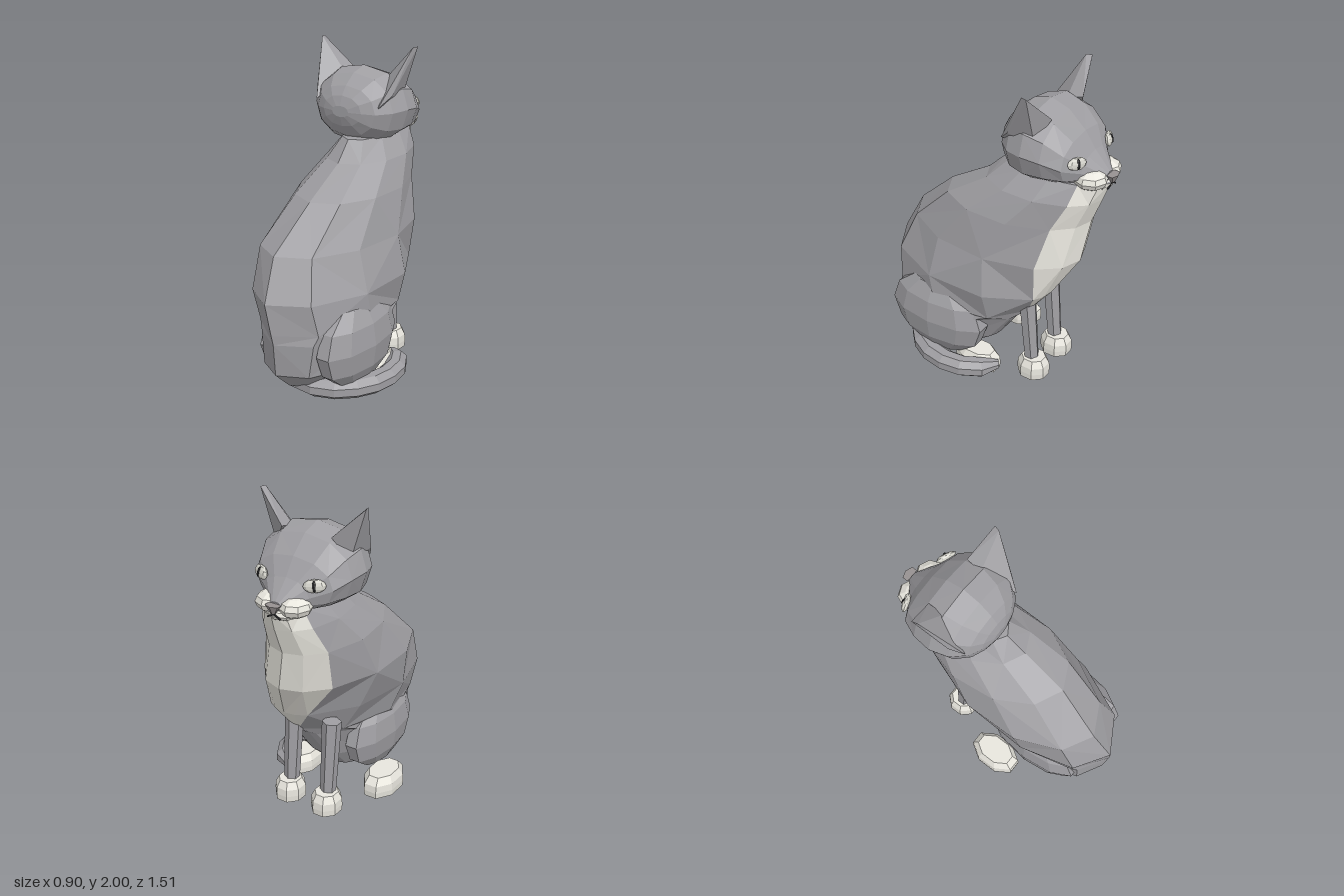
import * as THREE from 'three';
import { ConvexGeometry } from 'three/addons/geometries/ConvexGeometry.js';

const mat = (name, color) => new THREE.MeshStandardMaterial({ name, color, flatShading: true });
const HX = -0.105; // centre line of the head

// Skin a stack of rings into faceted faces; isWhite(i, j) picks the second material.
function loft(rings, isWhite = () => false) {
  const buckets = [[], []];
  const n = rings[0].length;
  const tri = (b, ...p) => p.forEach(v => b.push(v.x, v.y, v.z));
  for (let i = 0; i < rings.length - 1; i++) {
    for (let j = 0; j < n; j++) {
      const k = (j + 1) % n;
      const b = buckets[isWhite(i, j) ? 1 : 0];
      const [p, q, r, s] = [rings[i][j], rings[i][k], rings[i + 1][j], rings[i + 1][k]];
      if ((i + j) % 2) { tri(b, p, r, q); tri(b, q, r, s); }
      else { tri(b, p, r, s); tri(b, p, s, q); }
    }
  }
  const cap = (ring, first) => {
    const c = ring.reduce((a, v) => a.add(v), new THREE.Vector3()).divideScalar(n);
    for (let j = 0; j < n; j++) {
      const k = (j + 1) % n;
      if (first) tri(buckets[0], c, ring[j], ring[k]);
      else tri(buckets[0], c, ring[k], ring[j]);
    }
  };
  cap(rings[0], true);
  cap(rings[rings.length - 1], false);
  const g = new THREE.BufferGeometry();
  g.setAttribute('position', new THREE.Float32BufferAttribute([...buckets[0], ...buckets[1]], 3));
  g.addGroup(0, buckets[0].length / 3, 0);
  g.addGroup(buckets[0].length / 3, buckets[1].length / 3, 1);
  g.computeVertexNormals();
  return g;
}

export function createModel() {
  const cat = new THREE.Group();
  cat.name = 'sittingCat';
  const grey = mat('greyFur', 0x9f9ea2);
  const white = mat('whiteFur', 0xe8e6de);
  const noseMat = mat('noseGrey', 0x969191);
  const dark = mat('darkDetail', 0x2c2c2e);
  const iris = mat('paleIris', 0xd6d5cd);

  const add = (name, geo, m, pos = [0, 0, 0], scale = [1, 1, 1], parent = cat) => {
    const mesh = new THREE.Mesh(geo, m);
    mesh.name = name;
    mesh.position.set(...pos);
    mesh.scale.set(...scale);
    parent.add(mesh);
    return mesh;
  };

  // Body: y, centre x, half width, back z, front z, half angle of the white bib, sideways skew
  const bodyRows = [
    [0.06, -0.01, 0.16, 0.57, 0.05, 0.4, -0.06],
    [0.19, 0.02, 0.27, 0.71, -0.08, 0.4, -0.08],
    [0.40, 0.035, 0.30, 0.735, -0.22, 0.3, -0.08],
    [0.46, 0.03, 0.315, 0.742, -0.29, 0.04, -0.08],
    [0.65, 0.005, 0.35, 0.755, -0.44, 0.4, -0.08],
    [0.90, -0.05, 0.35, 0.63, -0.585, 0.78, -0.04],
    [1.16, -0.055, 0.305, 0.35, -0.615, 0.8, 0.05],
    [1.33, -0.055, 0.235, 0.07, -0.68, 0.85, 0.06],
    [1.45, -0.065, 0.15, -0.05, -0.72, 0.95, 0.06],
  ];
  const bodyRings = bodyRows.map(([y, cx, rx, zb, zf, bib, skew]) => {
    const ring = [];
    for (let j = 0; j < 12; j++) {
      const a = j < 4 ? -bib + bib * j / 2 : bib + (j - 4) * (2 * Math.PI - 2 * bib) / 8;
      const dz = -(zb - zf) / 2 * Math.cos(a);
      ring.push(new THREE.Vector3(cx + rx * Math.sin(a) + skew * dz, y, (zb + zf) / 2 + dz));
    }
    return ring;
  });
  add('body', loft(bodyRings, (i, j) => i >= 3 && j < 4), [grey, white]);

  // Head: z, half width, bottom y, top y, from the nose bridge backwards
  const headRows = [
    [-0.70, 0.04, 1.46, 1.51],
    [-0.60, 0.15, 1.44, 1.62],
    [-0.53, 0.26, 1.425, 1.72],
    [-0.42, 0.31, 1.40, 1.82],
    [-0.30, 0.325, 1.385, 1.86],
    [-0.19, 0.29, 1.40, 1.83],
    [-0.11, 0.215, 1.455, 1.765],
    [-0.07, 0.14, 1.52, 1.71],
    [-0.05, 0.06, 1.58, 1.65],
  ];
  const soft = v => Math.sign(v) * Math.abs(v) ** 0.93;
  const headRings = headRows.map(([z, w, y0, y1]) => Array.from({ length: 12 }, (_, j) => {
    const a = j * Math.PI / 6;
    return new THREE.Vector3(
      HX + w * soft(Math.sin(a)), (y0 + y1) / 2 + (y1 - y0) / 2 * soft(Math.cos(a)), z);
  }));
  add('head', loft(headRings), [grey, white]);

  const ball = new THREE.SphereGeometry(1, 8, 6);
  for (const s of [1, -1]) {
    const side = s > 0 ? 'left' : 'right';

    // Ears: leaning pyramids
    const ear = [
      [0.35, 2.0, -0.355], [0.34, 2.0, -0.32], [0.165, 1.82, -0.41],
      [0.16, 1.80, -0.31], [0.23, 1.65, -0.115], [0.28, 1.72, -0.19], [0.25, 1.69, -0.35],
    ].map(([x, y, z]) => new THREE.Vector3(HX + s * x, y, z));
    add(side + 'Ear', new ConvexGeometry(ear), grey);

    // Eyes: flattened, slightly turned outwards
    const eye = new THREE.Group();
    eye.name = side + 'Eye';
    eye.position.set(HX + s * 0.178, 1.605, -0.586);
    eye.rotation.set(0.25, -s * 0.4, s * 0.2);
    cat.add(eye);
    add('iris', ball, iris, [0, 0, 0], [0.065, 0.038, 0.022], eye);
    add('pupil', ball, dark, [0, 0, -0.014], [0.012, 0.032, 0.012], eye);

    // Muzzle pads and mouth lines
    add(side + 'MuzzlePad', ball, white, [HX + s * 0.078, 1.476, -0.62], [0.097, 0.062, 0.105]);
    const mouth = add(side + 'MouthLine', new THREE.BoxGeometry(0.05, 0.008, 0.008), dark,
      [HX + s * 0.022, 1.432, -0.715]);
    mouth.rotation.z = -s * 0.5;
  }
  add('chin', ball, white, [HX, 1.43, -0.64], [0.1, 0.04, 0.08]);

  // Nose: small wedge pointing down
  const nose = new THREE.CylinderGeometry(0.05, 0.015, 0.05, 6);
  add('nose', nose, noseMat, [HX, 1.475, -0.722], [1, 1, 0.65]);

  // Haunches
  const thigh = new THREE.SphereGeometry(1, 10, 6);
  add('leftHaunch', thigh, grey, [0.255, 0.33, 0.265], [0.14, 0.275, 0.36]);
  add('rightHaunch', thigh, grey, [-0.18, 0.29, 0.27], [0.13, 0.25, 0.35]);

  // Paws share one bevelled eight-sided profile
  const paw = new THREE.LatheGeometry(
    [[0, 0], [1.05, 0], [1.08, 0.04], [1.05, 0.085], [0.8, 0.13], [0, 0.13]]
      .map(p => new THREE.Vector2(...p)), 8, Math.PI / 8);
  add('leftHindPaw', paw, white, [0.21, 0, 0.0], [0.09, 0.94, 0.15]);
  add('rightHindPaw', paw, white, [-0.35, 0, 0.065], [0.105, 1, 0.165]);

  // Front legs, slanting slightly forward
  for (const [side, x] of [['left', 0.085], ['right', -0.19]]) {
    add(side + 'FrontPaw', paw, white, [x, 0, -0.345], [0.09, 1, 0.098]);
    const leg = new THREE.CylinderGeometry(0.062, 0.05, 0.5, 6);
    const p = leg.attributes.position;
    for (let i = 0; i < p.count; i++) p.setZ(i, p.getZ(i) * 0.9 + p.getY(i) * 0.09);
    leg.computeVertexNormals();
    add(side + 'FrontLeg', leg, grey, [x, 0.345, -0.31]);
  }

  // Tail: broad flat curl around one side, tapering to the tip
  const path = new THREE.CatmullRomCurve3([
    [-0.12, 0.42], [0.06, 0.48], [0.23, 0.43], [0.35, 0.28], [0.382, 0.12], [0.34, -0.05], [0.22, -0.165],
  ].map(([x, z]) => new THREE.Vector3(x, 0.064, z)));
  const tailRings = Array.from({ length: 10 }, (_, i) => {
    const t = i / 9;
    const c = path.getPointAt(t), d = path.getTangentAt(t);
    const r = i === 9 ? 0.03 : 0.09 - 0.025 * t;
    return Array.from({ length: 8 }, (_, j) => {
      const a = (j + 0.5) * Math.PI / 4;
      const out = r * Math.sin(a);
      const up = (i === 9 ? 0.03 : 0.064) * Math.cos(a);
      return new THREE.Vector3(c.x - d.z * out, c.y + up, c.z + d.x * out);
    }).reverse();
  });
  add('tail', loft(tailRings), [grey, white]);

  return cat;
}
